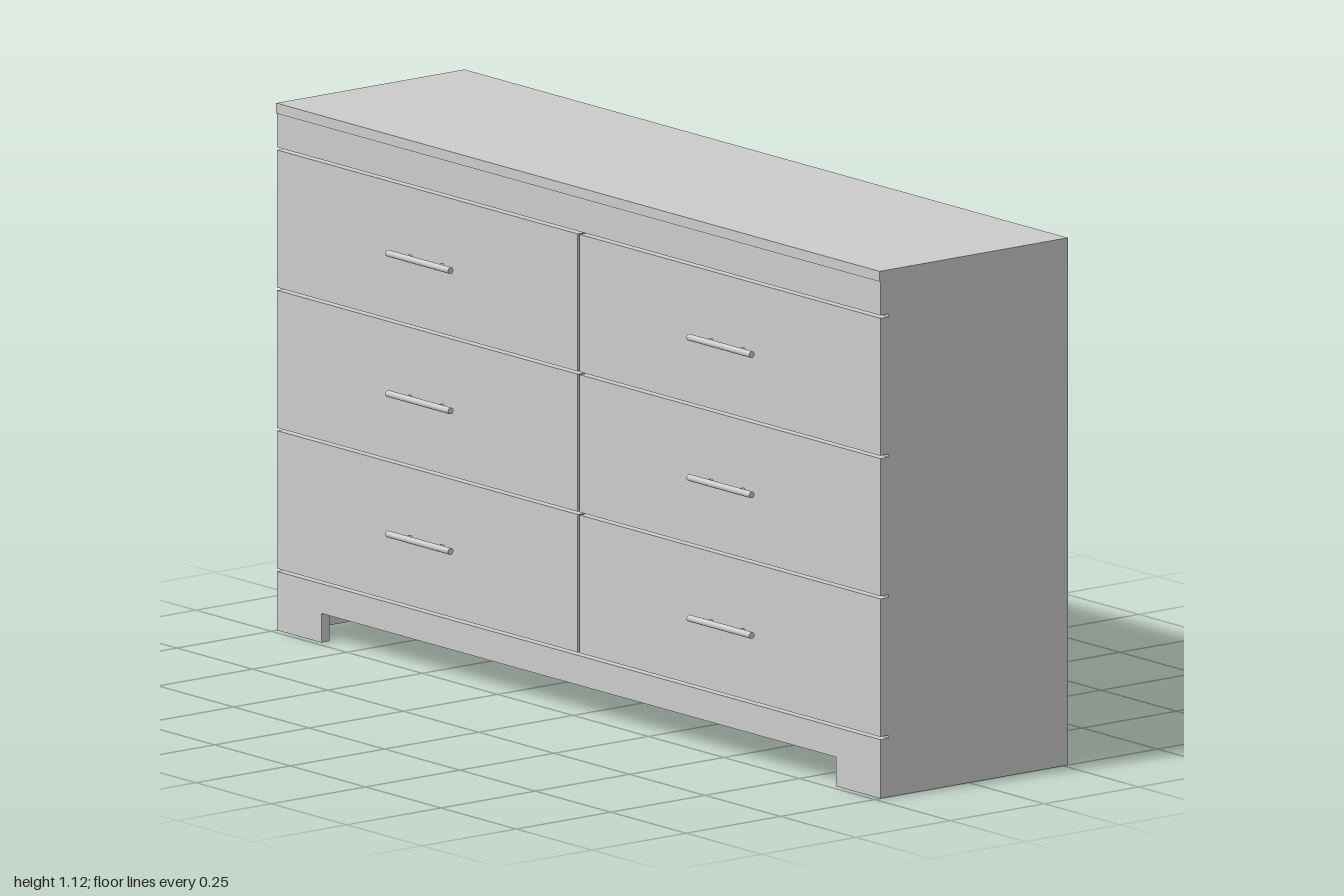
import * as THREE from 'three';

const material = new THREE.MeshStandardMaterial({ color: 0xcccccc });

// Box given by its lower and upper limits on each axis
function panel(name, [x0, x1], [y0, y1], [z0, z1]) {
  const mesh = new THREE.Mesh(new THREE.BoxGeometry(x1 - x0, y1 - y0, z1 - z0), material);
  mesh.name = name;
  mesh.position.set((x0 + x1) / 2, (y0 + y1) / 2, (z0 + z1) / 2);
  return mesh;
}

// Round bar on two short posts, origin on the drawer face
function createHandle() {
  const handle = new THREE.Group();
  handle.name = 'handle';
  const bar = new THREE.Mesh(new THREE.CylinderGeometry(0.007, 0.007, 0.208, 20), material);
  bar.name = 'handleBar';
  bar.rotation.z = Math.PI / 2;
  bar.position.z = 0.02;
  handle.add(bar);
  for (const x of [-0.053, 0.053]) {
    const post = new THREE.Mesh(new THREE.CylinderGeometry(0.0035, 0.0035, 0.02, 12), material);
    post.name = 'handlePost';
    post.rotation.x = Math.PI / 2;
    post.position.set(x, 0, 0.01);
    handle.add(post);
  }
  return handle;
}

export function createModel() {
  const dresser = new THREE.Group();
  dresser.name = 'dresser';

  const back = -0.262, carcassFront = 0.213, front = 0.235;
  const topUnder = 1.098, height = 1.12, plinth = 0.062;
  const thickness = 0.032, gap = 0.006;
  const inner = 1 - thickness;
  const backPanelZ = back + 0.04;

  // Carcass: top, two sides, recessed back and bottom
  dresser.add(panel('top', [-1, 1], [topUnder, height], [back, front + 0.002]));
  dresser.add(panel('leftSide', [inner, 1], [0, topUnder], [back, carcassFront]));
  dresser.add(panel('rightSide', [-1, -inner], [0, topUnder], [back, carcassFront]));
  dresser.add(panel('backPanel', [-inner, inner], [plinth, topUnder], [backPanelZ, backPanelZ + 0.012]));
  dresser.add(panel('bottom', [-inner, inner], [plinth + 0.004, plinth + 0.026], [backPanelZ + 0.012, carcassFront]));

  // Seams between the front boards, from bottom to top
  const seams = [0.128, 0.427, 0.725, 1.023];
  dresser.add(panel('topRail', [-1, 1], [seams[3] + gap / 2, topUnder], [carcassFront, front]));

  // Front apron with a foot at each end
  const apronShape = new THREE.Shape([
    [-1, 0], [-0.853, 0], [-0.853, plinth], [0.853, plinth], [0.853, 0], [1, 0],
    [1, seams[0] - gap / 2], [-1, seams[0] - gap / 2],
  ].map(([x, y]) => new THREE.Vector2(x, y)));
  const apron = new THREE.Mesh(
    new THREE.ExtrudeGeometry(apronShape, { depth: front - carcassFront, bevelEnabled: false }), material);
  apron.name = 'apron';
  apron.position.z = carcassFront;
  dresser.add(apron);

  // Two columns of three drawers
  for (const side of [-1, 1]) {
    for (let row = 0; row < 3; row++) {
      const drawer = new THREE.Group();
      drawer.name = (side > 0 ? 'left' : 'right') + 'Drawer' + (row + 1);
      const xs = side > 0 ? [gap / 2, 1] : [-1, -gap / 2];
      drawer.add(panel('drawerFront', xs, [seams[row] + gap / 2, seams[row + 1] - gap / 2], [carcassFront, front]));
      const handle = createHandle();
      handle.position.set(side * 0.499 - 0.004, (seams[row] + seams[row + 1]) / 2, front);
      drawer.add(handle);
      dresser.add(drawer);
    }
  }
  return dresser;
}
